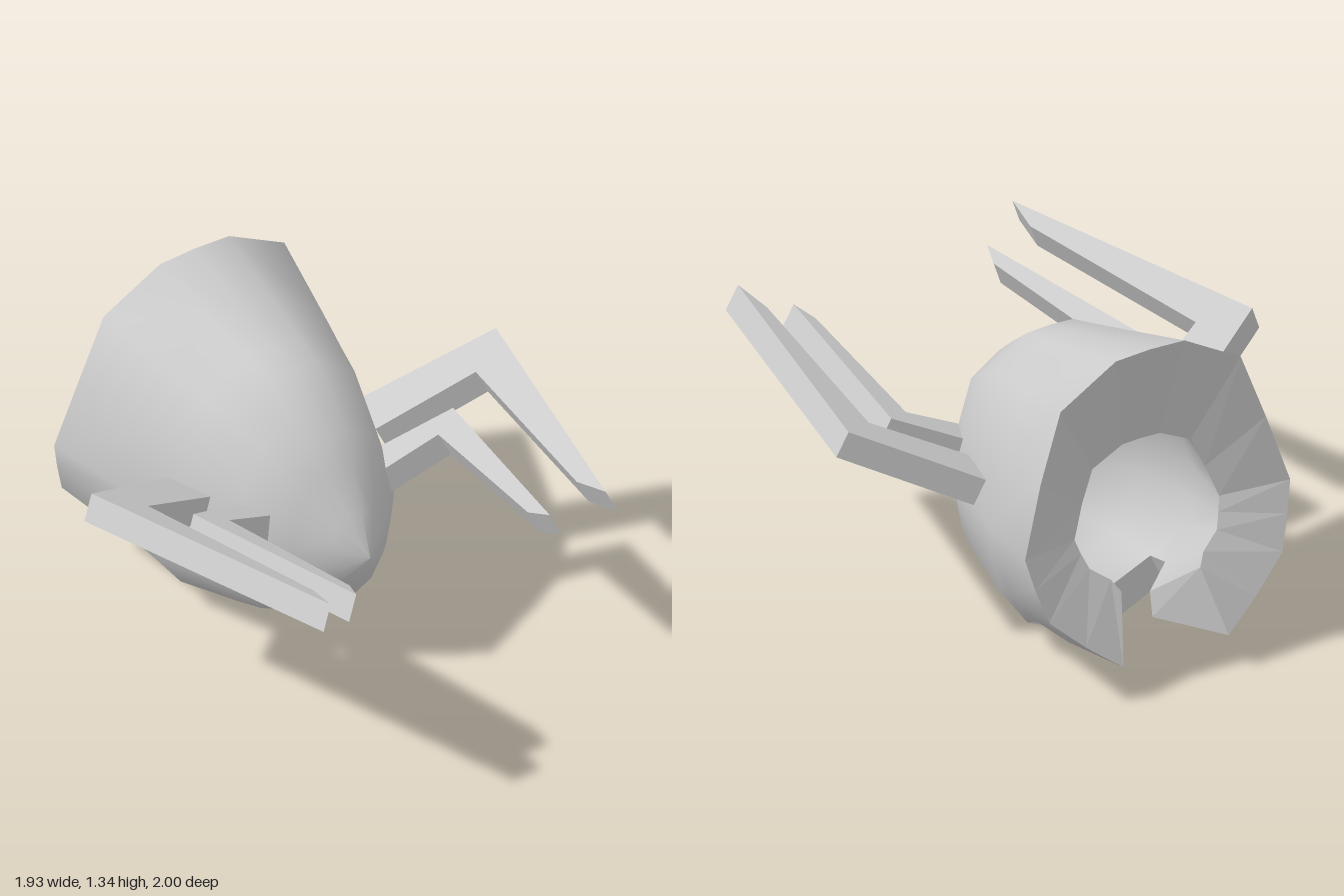
import * as THREE from 'three';
import { toCreasedNormals } from 'three/addons/utils/BufferGeometryUtils.js';

// Half cross-section, top centre to bottom; the last u is set per ring
const U = [0, 0.26, 0.68, 0.85, 1, 0.95, 0.88, 0.64, 0];
const V = [1, 0.99, 0.79, 0.4, 0, -0.25, -0.52, -0.78, -1];

// Ring: z at top, z at bottom, top y, middle y, bottom y, half width, slot half width
function ring([zt, zb, top, mid, bot, hw, slot]) {
  const half = U.map((u, k) => {
    const v = V[k];
    const t = Math.pow((1 - v) / 2, 1.8);
    const x = k === 8 ? slot : u * hw;
    return [x, mid + v * (v > 0 ? top - mid : mid - bot), zt + (zb - zt) * t];
  });
  const other = half.slice(1).map(([x, y, z]) => [-x, y, z]);
  return [...half.reverse(), ...other];
}

function geometryOf(quads) {
  const pos = [];
  for (const [a, b, c, d] of quads) pos.push(...a, ...b, ...c, ...a, ...c, ...d);
  const g = new THREE.BufferGeometry();
  g.setAttribute('position', new THREE.Float32BufferAttribute(pos, 3));
  g.computeVertexNormals();
  return g;
}

// Skin over rings; the third-last band is open at its lowest cells for the notch
function loft(rings, inward) {
  const quads = [];
  for (let i = 0; i < rings.length - 1; i++) {
    for (let j = 0; j < 16; j++) {
      if (i === rings.length - 3 && (j === 0 || j === 15)) continue;
      const q = [rings[i][j], rings[i + 1][j], rings[i + 1][j + 1], rings[i][j + 1]];
      quads.push(inward ? q.reverse() : q);
    }
  }
  return toCreasedNormals(geometryOf(quads), 0.9);
}

// Bent flat leg: outline in x/z, sheared onto a tilted plane
function legGeometry(outline, side, y0, slope) {
  const shape = new THREE.Shape(outline.map(([x, z]) => new THREE.Vector2(side * x, -z)));
  const g = new THREE.ExtrudeGeometry(shape, { depth: 1, bevelEnabled: false });
  const p = g.attributes.position;
  for (let i = 0; i < p.count; i++) {
    const x = p.getX(i), z = -p.getY(i), d = p.getZ(i);
    p.setXYZ(i, x - side * 0.044 * d, y0 + slope * side * x + 0.17 * z + 0.1 * d, z - 0.017 * d);
  }
  g.computeVertexNormals();
  return g;
}

export function createModel() {
  const group = new THREE.Group();
  const skin = new THREE.MeshStandardMaterial({ color: 0xcccccc, side: THREE.DoubleSide });
  const flat = new THREE.MeshStandardMaterial({ color: 0xcccccc, side: THREE.DoubleSide, flatShading: true });
  const add = (name, geometry, material) => {
    const mesh = new THREE.Mesh(geometry, material);
    mesh.name = name;
    group.add(mesh);
  };

  // Pointed body, nose to rear rim
  const outer = [
    [0.335, 0.335, 0.6, 0.6, 0.6, 0, 0],
    [0.23, 0.23, 0.75, 0.6, 0.41, 0.12, 0],
    [0.13, 0.13, 0.9, 0.6, 0.245, 0.225, 0],
    [0.05, 0.05, 1.0, 0.6, 0.19, 0.305, 0],
    [-0.05, -0.05, 1.08, 0.6, 0.125, 0.36, 0],
    [-0.17, -0.17, 1.17, 0.6, 0.09, 0.405, 0],
    [-0.3, -0.3, 1.2, 0.6, 0.055, 0.445, 0],
    [-0.42, -0.48, 1.23, 0.6, 0, 0.485, 0],
    [-0.5, -0.57, 1.25, 0.6, 0.055, 0.51, 0.19],
    [-0.83, -1, 1.335, 0.64, 0.14, 0.605, 0.24],
  ].map(ring);
  // Hollow behind it
  const inner = [
    [0.1, 0.1, 0.6, 0.6, 0.6, 0, 0],
    [0.04, 0.04, 0.77, 0.6, 0.38, 0.15, 0],
    [-0.1, -0.1, 0.93, 0.6, 0.24, 0.27, 0],
    [-0.25, -0.25, 1.0, 0.6, 0.18, 0.36, 0],
    [-0.42, -0.47, 1.02, 0.6, 0.15, 0.4, 0],
    [-0.5, -0.56, 1.02, 0.6, 0.16, 0.41, 0.185],
    [-0.77, -0.9, 0.94, 0.62, 0.4, 0.33, 0.18],
  ].map(ring);
  add('bodyShell', loft(outer, false), skin);
  add('bodyCavity', loft(inner, true), skin);

  // Thick edges joining shell and cavity: rear rim, slot sides, notch
  const walls = [];
  const O = outer.slice(-3), I = inner.slice(-3);
  const wall = (i0, j0, i1, j1) => walls.push([O[i0][j0], I[i0][j0], I[i1][j1], O[i1][j1]]);
  for (let j = 0; j < 16; j++) wall(2, j, 2, j + 1);
  wall(2, 0, 1, 0);
  wall(1, 16, 2, 16);
  for (const [end, next] of [[0, 1], [16, 15]]) {
    wall(0, end, 0, next);
    wall(1, next, 1, end);
    wall(0, next, 1, next);
  }
  add('rimAndSlotEdges', geometryOf(walls), flat);

  // Two pairs of bent legs reaching forward
  const large = [[0.965, -0.155], [0.67, 1], [0.645, 0.845], [0.79, -0.035], [0.42, -0.16], [0.48, -0.36]];
  const small = [[0.635, 0.04], [0.485, 0.9], [0.45, 0.805], [0.52, 0.11], [0.28, 0.065], [0.36, -0.055]];
  for (const [side, label] of [[1, 'left'], [-1, 'right']]) {
    add(label + 'LargeLeg', legGeometry(large, side, 0.472, 0.45), flat);
    add(label + 'SmallLeg', legGeometry(small, side, 0.504, 0.4), flat);
  }
  return group;
}
